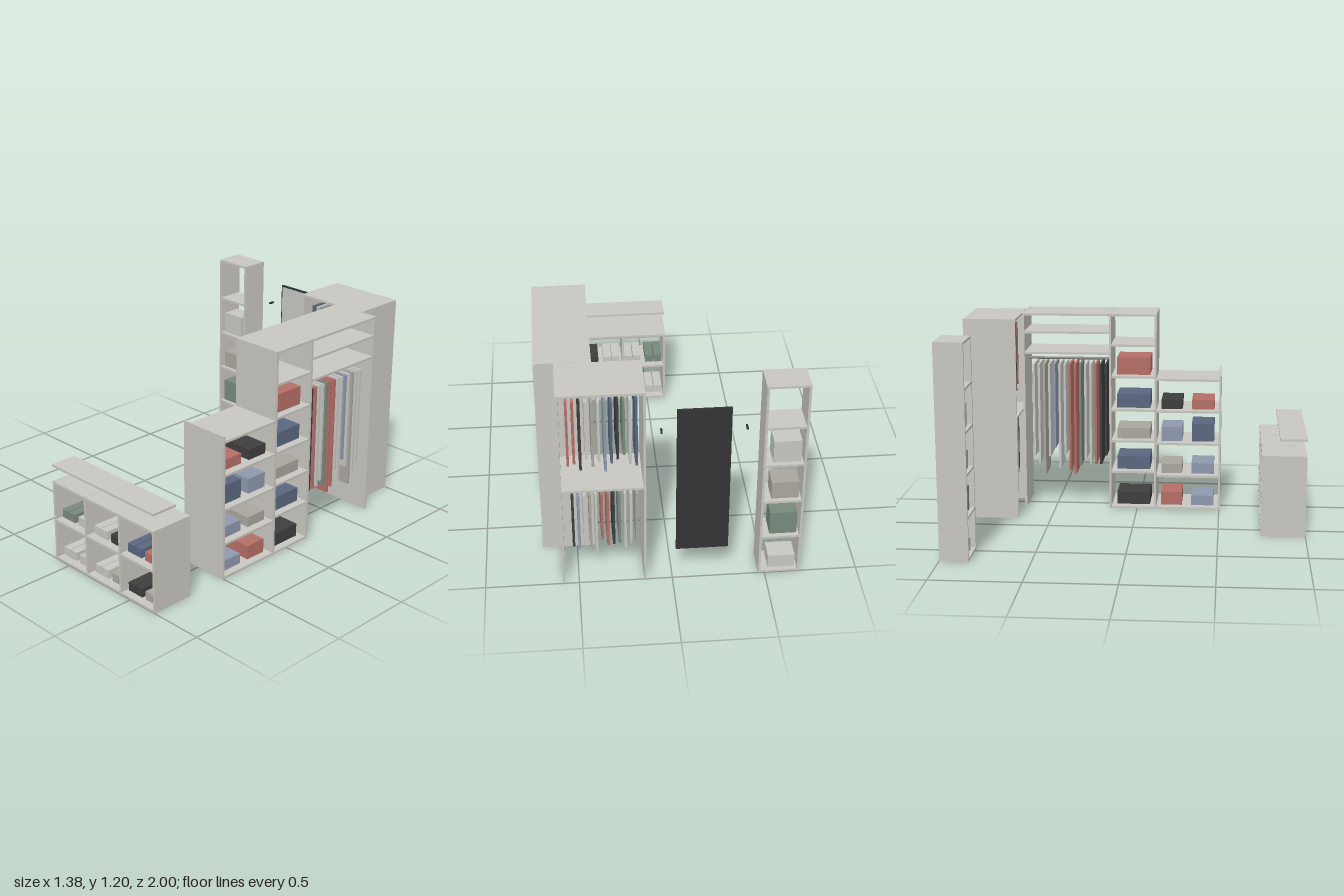
import * as THREE from 'three';

const mat = (name, color) => Object.assign(new THREE.MeshStandardMaterial({ color }), { name });
const M = {
  panel: mat('panel grey', 0xc8c6c0),
  light: mat('pale grey', 0xc6c7c2),
  taupe: mat('taupe', 0xa9a69d),
  green: mat('sage green', 0x788a7c),
  red: mat('brick red', 0xb56e66),
  navy: mat('slate blue', 0x5b6780),
  sky: mat('pale blue', 0x8e98ae),
  black: mat('charcoal', 0x3e3e3e),
  frame: mat('dark frame', 0x343437),
  metal: mat('rail metal', 0x8e8a84),
};
// one-letter codes for rows of clothes and shoes
const CODE = { l: M.light, t: M.taupe, g: M.green, r: M.red, n: M.navy, s: M.sky, k: M.black };
const T = 0.013; // board thickness

// box given by its low and high limits on each axis
function box(parent, name, material, [x0, x1], [y0, y1], [z0, z1]) {
  const m = new THREE.Mesh(new THREE.BoxGeometry(x1 - x0, y1 - y0, z1 - z0), material);
  m.position.set((x0 + x1) / 2, (y0 + y1) / 2, (z0 + z1) / 2);
  m.name = name;
  parent.add(m);
  return m;
}

function group(parent, name) {
  const g = new THREE.Group();
  g.name = name;
  parent.add(g);
  return g;
}

// horizontal boards centred at each height
const shelves = (g, x, ys, z) =>
  ys.forEach((y) => box(g, 'shelf', M.panel, x, [y - T / 2, y + T / 2], z));

// hanging rail along x or z
function rail(g, axis, [a, b], y, other) {
  const m = new THREE.Mesh(new THREE.CylinderGeometry(0.008, 0.008, b - a, 12), M.metal);
  const mid = (a + b) / 2;
  if (axis === 'x') {
    m.rotation.z = Math.PI / 2;
    m.position.set(mid, y, other);
  } else {
    m.rotation.x = Math.PI / 2;
    m.position.set(other, y, mid);
  }
  m.name = 'hangingRail';
  g.add(m);
}

// row of thin garments hung along an axis
function clothes(g, axis, start, step, other, top, codes, bottoms) {
  bottoms.forEach((b, i) => {
    const c = start + step * i;
    const thin = [c - 0.0065, c + 0.0065], wide = [other - 0.105, other + 0.105];
    box(g, 'garment', CODE[codes[i]], axis === 'x' ? thin : wide, [b, top], axis === 'x' ? wide : thin);
  });
}

export function createModel() {
  const root = new THREE.Group();
  root.name = 'walkInCloset';

  // narrow open tower
  const tower = group(root, 'narrowTower');
  const tx = [-0.69, -0.465], tz = [-1, -0.838];
  box(tower, 'sidePanel', M.panel, [tx[0], tx[0] + T], [0, 1.2], tz);
  box(tower, 'sidePanel', M.panel, [tx[1] - T, tx[1]], [0, 1.2], tz);
  shelves(tower, [tx[0] + T, tx[1] - T], [0.0075, 0.24, 0.476, 0.711, 0.945, 1.193], tz);
  [['light', 0.014, 0.092], ['green', 0.247, 0.385], ['taupe', 0.483, 0.585], ['light', 0.718, 0.847]]
    .forEach(([c, y0, y1]) => box(tower, 'storageBox', M[c], [-0.665, -0.52], [y0, y1], [-0.975, -0.86]));

  // wall mirror and hooks
  const mirror = group(root, 'mirror');
  box(mirror, 'mirrorFrame', M.frame, [-0.296, -0.018], [0.197, 1.088], [-1, -0.988]);
  box(mirror, 'mirrorGlass', M.light, [-0.286, -0.028], [0.207, 1.078], [-0.99, -0.983]);
  for (const x of [-0.376, 0.059])
    box(root, 'wallHook', M.frame, [x - 0.005, x + 0.005], [0.95, 0.96], [-1, -0.965]);

  // back wardrobe with two hanging levels
  const back = group(root, 'backWardrobe');
  const bx = [0.138, 0.586], bz = [-1, -0.693];
  box(back, 'sidePanel', M.panel, [bx[0], bx[0] + T], [0, 1.2], bz);
  box(back, 'sidePanel', M.panel, [bx[1] - T, bx[1]], [0, 1.2], bz);
  shelves(back, [bx[0] + T, bx[1] - T], [0.611, 1.193], bz);
  for (const y of [0.567, 1.138]) rail(back, 'x', [bx[0] + T, bx[1] - T], y, -0.846);
  clothes(back, 'x', 0.182, 0.032, -0.846, 1.128, 'nlgknsltlkrr',
    [0.725, 0.735, 0.795, 0.77, 0.745, 0.695, 0.76, 0.73, 0.78, 0.71, 0.75, 0.74]);
  clothes(back, 'x', 0.184, 0.0305, -0.846, 0.547, 'tllgkrrltlsk',
    [0.213, 0.215, 0.185, 0.22, 0.212, 0.208, 0.25, 0.16, 0.2, 0.22, 0.19, 0.21]);

  // long side unit: hanging bay, tall shelves, low shelves
  const side = group(root, 'sideUnit');
  const sx = [0.393, 0.69];
  for (const [z, h] of [[-0.685, 1.2], [-0.163, 1.2], [0.11, 1.2], [0.5, 0.838]])
    box(side, 'uprightPanel', M.panel, sx, [0, h], [z - T / 2, z + T / 2]);
  shelves(side, sx, [0.96, 1.085, 1.193], [-0.678, -0.17]);
  shelves(side, sx, [0.0075, 0.23, 0.422, 0.614, 0.818, 1.01, 1.193], [-0.156, 0.103]);
  shelves(side, sx, [0.0075, 0.208, 0.41, 0.61, 0.804], [0.117, 0.493]);
  rail(side, 'z', [-0.678, -0.17], 0.906, 0.541);
  clothes(side, 'z', -0.193, -0.0314, 0.541, 0.885, 'kkrllgrrllsltll',
    [0.32, 0.265, 0.265, 0.27, 0.295, 0.255, 0.2, 0.225, 0.32, 0.235, 0.365, 0.31, 0.19, 0.265, 0.31]);

  // boxes on the side unit: colour, z range, y range
  const zs = { tall: [-0.125, 0.076], a: [0.33, 0.466], b: [0.145, 0.272] };
  [['red', 'tall', 0.825, 0.93], ['navy', 'tall', 0.621, 0.705], ['taupe', 'tall', 0.429, 0.494],
    ['navy', 'tall', 0.237, 0.317], ['black', 'tall', 0.014, 0.09],
    ['red', 'a', 0.617, 0.676], ['black', 'b', 0.617, 0.676],
    ['navy', 'a', 0.417, 0.527], ['sky', 'b', 0.417, 0.504],
    ['sky', 'a', 0.215, 0.28], ['taupe', 'b', 0.215, 0.273],
    ['sky', 'a', 0.014, 0.075], ['red', 'b', 0.014, 0.095]]
    .forEach(([c, z, y0, y1]) => box(side, 'storageBox', M[c], [0.445, 0.645], [y0, y1], zs[z]));

  // low shoe bench open on both sides
  const bench = group(root, 'shoeBench');
  const cz = [0.745, 1];
  for (const x of [-0.1095, 0.1495, 0.4225, 0.6835])
    box(bench, 'uprightPanel', M.panel, [x - T / 2, x + T / 2], [0, 0.474], cz);
  shelves(bench, [-0.103, 0.677], [0.0075, 0.24, 0.4665], cz);
  ['llltkt', 'gllknr'].forEach((row, r) => {
    const y = r ? 0.247 : 0.014;
    [...row.replace(' ', '')].forEach((c, i) => {
      const x = [-0.097, 0.036, 0.17, 0.306, 0.439, 0.572][i];
      for (const dx of [0, 0.055])
        box(bench, 'shoe', CODE[c], [x + dx, x + dx + 0.05], [y, y + 0.05], [0.79, 0.955]);
    });
  });

  // floating shelf above the bench
  box(root, 'floatingShelf', M.panel, [-0.116, 0.69], [0.56, 0.573], [0.845, 1]);

  return root;
}
